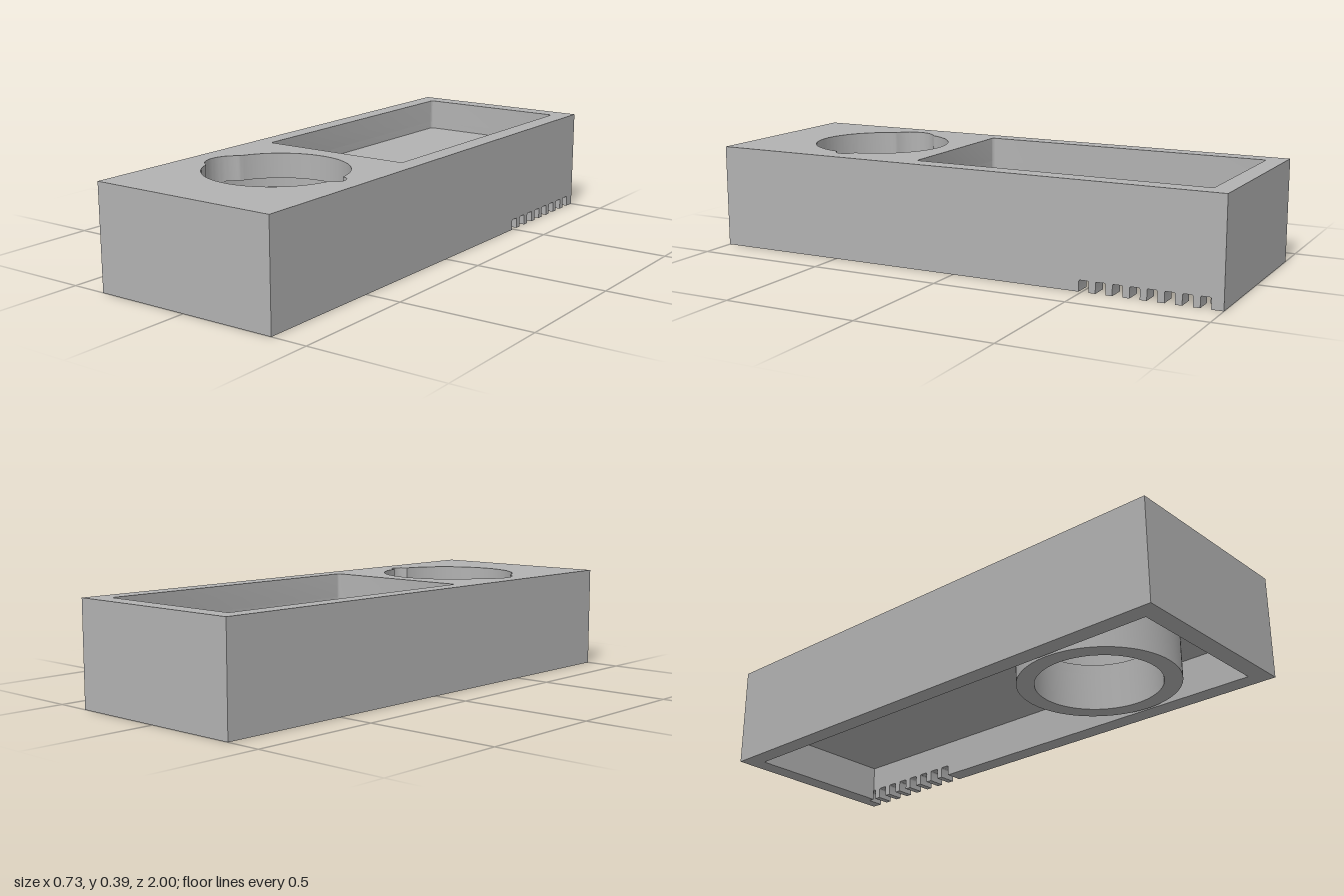
import * as THREE from 'three';
import { toCreasedNormals } from 'three/addons/utils/BufferGeometryUtils.js';

const HX = 0.365, HZ = 1, H = 0.386;      // half width, half length, height
const WALL = 0.067, CEIL = 0.14;          // wall thickness, underside of the deck
const CZ = 0.52;                          // z of the round socket
const POCKET_Y = 0.265, GROOVE_TOP = 0.294, GROOVE_Y = 0.254, LEDGE_Y = 0.177;
const R_BORE = 0.257, R_GROOVE = 0.29, R_HOLE = 0.225;

const grey = new THREE.MeshStandardMaterial({ color: 0xb2b2b2 });
grey.name = 'grey plastic';

export function createModel() {
  const model = new THREE.Group();

  const add = (name, geometry) => {
    const mesh = new THREE.Mesh(toCreasedNormals(geometry, 0.5), grey);
    mesh.name = name;
    model.add(mesh);
    return mesh;
  };

  // Round outline about the socket centre; radius may vary with angle
  const round = (radius, n = 96) => {
    const pts = [];
    for (let i = 0; i < n; i++) {
      const a = (i / n) * Math.PI * 2;
      const r = typeof radius === 'function' ? radius(a) : radius;
      pts.push(new THREE.Vector2(r * Math.cos(a), -CZ + r * Math.sin(a)));
    }
    return pts;
  };

  // Plan shape (x, -z) raised from y0 to y1
  const layer = (name, outline, holes, y0, y1) => {
    const shape = new THREE.Shape(outline);
    holes.forEach(h => shape.holes.push(new THREE.Path(h)));
    const g = new THREE.ExtrudeGeometry(shape, { depth: y1 - y0, bevelEnabled: false });
    g.rotateX(-Math.PI / 2).translate(0, y0, 0);
    return add(name, g);
  };

  const rect = (x0, x1, y0, y1) =>
    [[x0, y0], [x1, y0], [x1, y1], [x0, y1]].map(p => new THREE.Vector2(...p));

  // Rectangular pocket with slightly rounded corners
  const pocket = [];
  const pr = 0.01;
  [[0.293, 0.93, 0], [-0.297, 0.93, 1], [-0.297, -0.187, 2], [0.293, -0.187, 3]].forEach(([x, y, q]) => {
    const cx = x - Math.sign(x) * pr, cy = y - Math.sign(y) * pr;
    for (let i = 0; i <= 4; i++) {
      const a = (q + i / 4) * Math.PI / 2;
      pocket.push(new THREE.Vector2(cx + pr * Math.cos(a), cy + pr * Math.sin(a)));
    }
  });

  // Bore widened by a broad slot at -x and a small one at +x
  const bump = (a, c, b) => {
    const d = b * b - (c * Math.sin(a)) ** 2;
    return d < 0 ? 0 : c * Math.cos(a) + Math.sqrt(d);
  };
  const slotted = a => Math.max(R_BORE, bump(a, 0.25, 0.04), bump(a, -0.19, 0.103));

  // Deck, stacked by the depths of the pocket and the stepped socket
  const plan = rect(-HX, HX, -HZ, HZ);
  layer('topDeck', plan, [pocket, round(slotted, 240)], GROOVE_TOP, H);
  layer('grooveDeck', plan, [pocket, round(R_GROOVE)], POCKET_Y, GROOVE_TOP);
  layer('pocketFloor', plan, [round(R_GROOVE)], GROOVE_Y, POCKET_Y);
  layer('socketBore', plan, [round(R_BORE)], LEDGE_Y, GROOVE_Y);
  layer('socketLedge', plan, [round(R_HOLE)], CEIL, LEDGE_Y);

  // Tube under the socket
  layer('socketTube', round(0.289), [round(R_HOLE)], 0, CEIL);

  // Plain walls around the hollow underside
  const inner = HX - WALL;
  layer('rightWall', rect(-HX, -inner, -HZ, HZ), [], 0, CEIL);
  layer('frontWall', rect(-inner, inner, -HZ, -HZ + WALL), [], 0, CEIL);
  layer('backWall', rect(-inner, inner, HZ - WALL, HZ), [], 0, CEIL);

  // Left wall with a row of vent notches along its lower edge
  const side = new THREE.Shape();
  side.moveTo(-HZ, 0);
  for (let i = 0; i < 8; i++) {
    const u = 0.489 + i * 0.0616, w = 0.037, h = 0.041, c = 0.006;
    side.lineTo(u, 0);
    side.lineTo(u, h - c);
    side.quadraticCurveTo(u, h, u + c, h);
    side.lineTo(u + w - c, h);
    side.quadraticCurveTo(u + w, h, u + w, h - c);
    side.lineTo(u + w, 0);
  }
  side.lineTo(HZ, 0);
  side.lineTo(HZ, CEIL);
  side.lineTo(-HZ, CEIL);
  const sideGeo = new THREE.ExtrudeGeometry(side, { depth: WALL, bevelEnabled: false, curveSegments: 4 });
  sideGeo.rotateY(Math.PI / 2).translate(inner, 0, 0);
  add('notchedLeftWall', sideGeo);

  return model;
}
